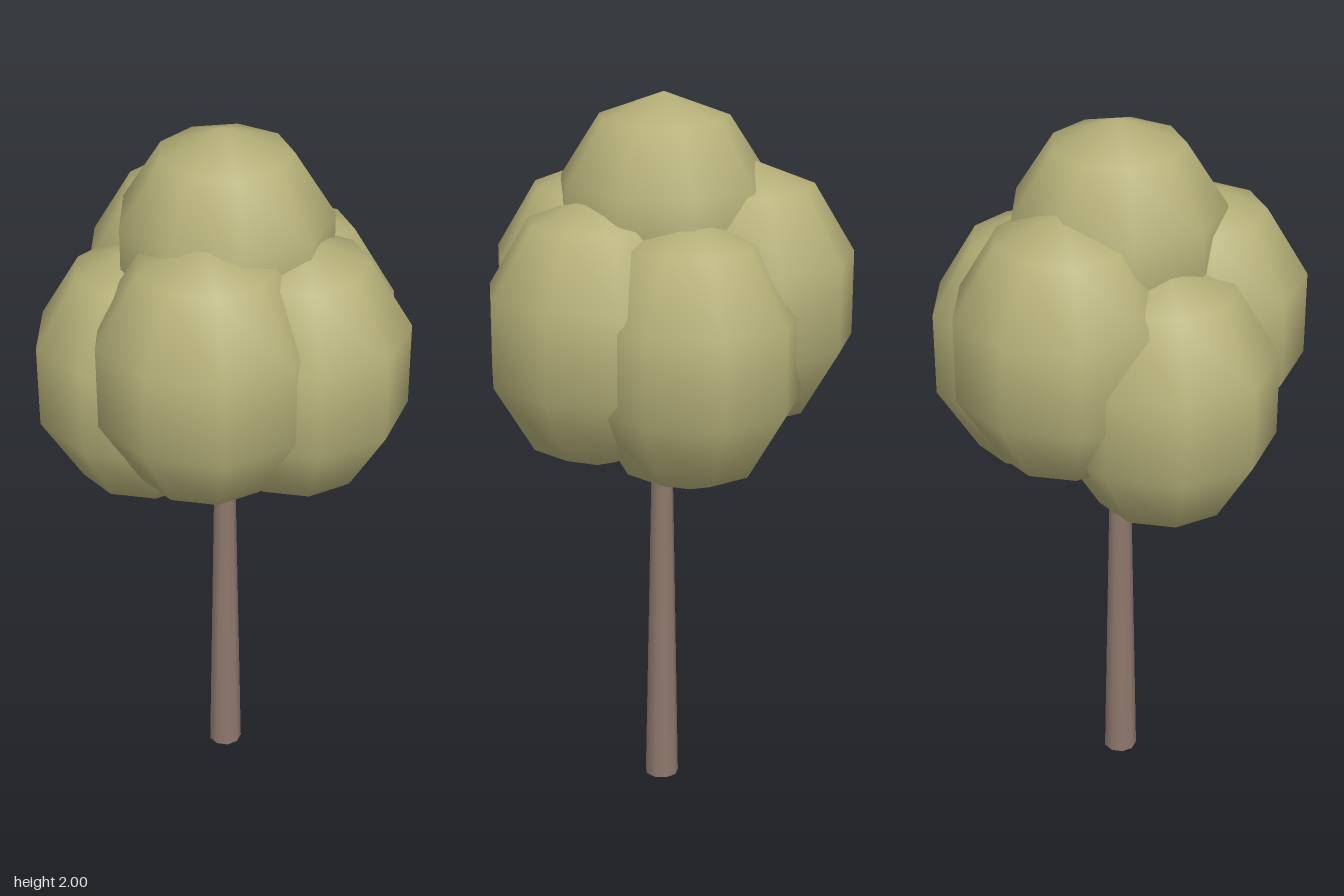
import * as THREE from 'three';

const leafMaterial = new THREE.MeshStandardMaterial({ name: 'leaf green', color: 0xb5af78 });
const barkMaterial = new THREE.MeshStandardMaterial({ name: 'bark brown', color: 0x8f786c });

// One egg-shaped clump of leaves: coarse sphere, a corner facing the front
function leafClump(name, [x, y, z], radius, halfHeight) {
  const geometry = new THREE.SphereGeometry(1, 9, 5);
  geometry.rotateY(Math.PI / 2);
  geometry.scale(radius, halfHeight, radius);
  const mesh = new THREE.Mesh(geometry, leafMaterial);
  mesh.name = name;
  mesh.position.set(x, y, z);
  return mesh;
}

export function createModel() {
  const tree = new THREE.Group();
  tree.name = 'tree';

  // Tapered trunk running up into the crown
  const trunkHeight = 1.4;
  const trunk = new THREE.Mesh(new THREE.CylinderGeometry(0.022, 0.048, trunkHeight, 9), barkMaterial);
  trunk.name = 'trunk';
  trunk.position.set(-0.022, trunkHeight / 2, -0.002);
  tree.add(trunk);

  // Crown: a ring of five clumps at staggered heights, and one on top
  const crown = new THREE.Group();
  crown.name = 'crown';
  const ring = {
    frontClump: [0.045, 1.423, 0.2],
    leftClump: [0.2, 1.38, -0.01],
    backClump: [0.043, 1.34, -0.22],
    backRightClump: [-0.2, 1.45, -0.14],
    frontRightClump: [-0.2, 1.31, 0.12],
  };
  for (const [name, position] of Object.entries(ring)) {
    crown.add(leafClump(name, position, 0.31, 0.375));
  }
  crown.add(leafClump('topClump', [-0.022, 1.66, -0.008], 0.3, 0.34));
  tree.add(crown);

  return tree;
}
